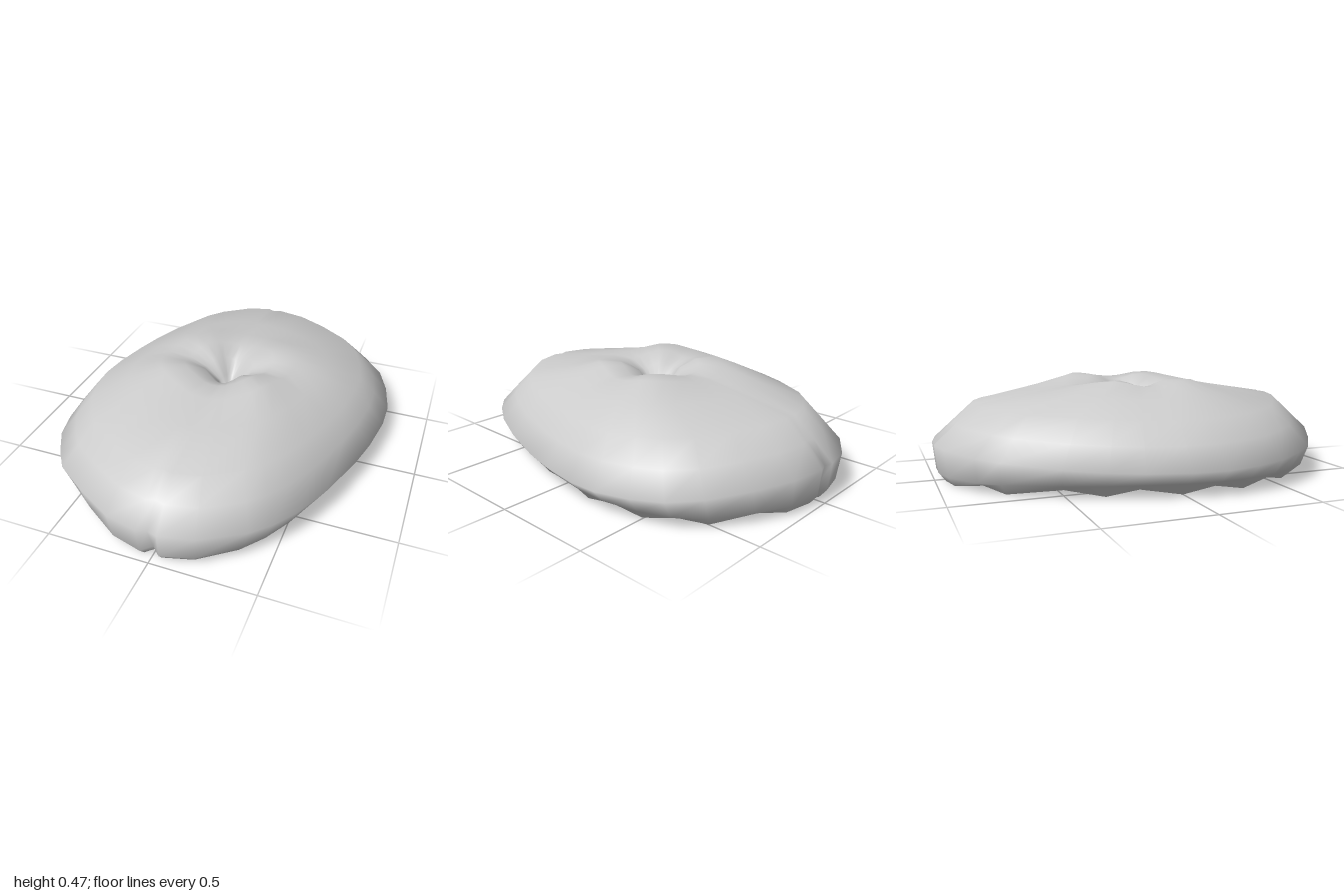
import * as THREE from 'three';

// Skewed oval outline (x, z), from the back round past +x to the front and on
const outline = [
  [0, -0.985], [0.05, -1], [0.22, -0.97], [0.4, -0.89], [0.58, -0.78], [0.69, -0.66],
  [0.75, -0.52], [0.79, -0.35], [0.79, -0.2], [0.76, 0], [0.72, 0.17], [0.64, 0.42],
  [0.56, 0.61], [0.48, 0.74], [0.4, 0.83], [0.21, 0.96], [0.05, 1],
  [0, 0.985], [-0.05, 1], [-0.21, 0.96], [-0.41, 0.84], [-0.58, 0.72], [-0.66, 0.61],
  [-0.74, 0.47], [-0.78, 0.32], [-0.8, 0.16], [-0.78, 0], [-0.73, -0.2], [-0.68, -0.35],
  [-0.6, -0.53], [-0.45, -0.77], [-0.36, -0.86], [-0.18, -0.97], [-0.04, -1],
];

// Rings from the open rim up to the dimple:
// x scale, z scale, height at sides, height at ends, depth of the gathered folds
const rings = [
  [0.86, 0.95, 0, 0, 0],
  [0.925, 0.985, 0.06, 0.045, 0],
  [1, 1, 0.12, 0.18, 0],
  [0.9, 0.9, 0.225, 0.27, 0],
  [0.8, 0.8, 0.325, 0.36, 0],
  [0.6, 0.52, 0.4, 0.41, 0.005],
  [0.42, 0.33, 0.458, 0.45, 0.015],
  [0.27, 0.21, 0.45, 0.45, 0.015],
  [0.15, 0.12, 0.41, 0.41, 0.015],
  [0.06, 0.06, 0.335, 0.335, 0.005],
];
const dimple = { x: 0.01, y: 0.27, z: 0.03 };

function shellGeometry() {
  const n = outline.length;
  const positions = [];
  const index = [];

  rings.forEach(([sx, sz, ySide, yEnd, fold], r) => {
    outline.forEach(([x, z], j) => {
      let y = THREE.MathUtils.lerp(ySide, yEnd, z * z);
      // Scalloped lower edge
      if (r === 0 && Math.abs(x) > 0.3) y += (j % 2) * 0.03;
      // Four puffy lobes gathered into the dimple
      y -= fold * Math.cos(4 * Math.atan2(z, x));
      // Pinched seam at each end, strongest near the rim
      const pinch = r < 2 && j % 17 === 0 ? 0.97 : 1;
      positions.push(x * sx, y, z * sz * pinch);
    });
  });
  const centre = positions.length / 3;
  positions.push(dimple.x, dimple.y, dimple.z);

  for (let r = 0; r < rings.length; r++) {
    for (let j = 0; j < n; j++) {
      const a = r * n + j;
      const b = r * n + ((j + 1) % n);
      if (r === rings.length - 1) index.push(a, centre, b);
      else index.push(a, a + n, b, b, a + n, b + n);
    }
  }

  const geometry = new THREE.BufferGeometry();
  geometry.setAttribute('position', new THREE.Float32BufferAttribute(positions, 3));
  geometry.setIndex(index);
  geometry.computeVertexNormals();
  return geometry;
}

export function createModel() {
  const group = new THREE.Group();
  group.name = 'puffyCap';

  // Thin hollow shell, open underneath
  const material = new THREE.MeshStandardMaterial({ color: 0xcccccc, side: THREE.DoubleSide });
  const shell = new THREE.Mesh(shellGeometry(), material);
  shell.name = 'softShell';
  group.add(shell);
  return group;
}
